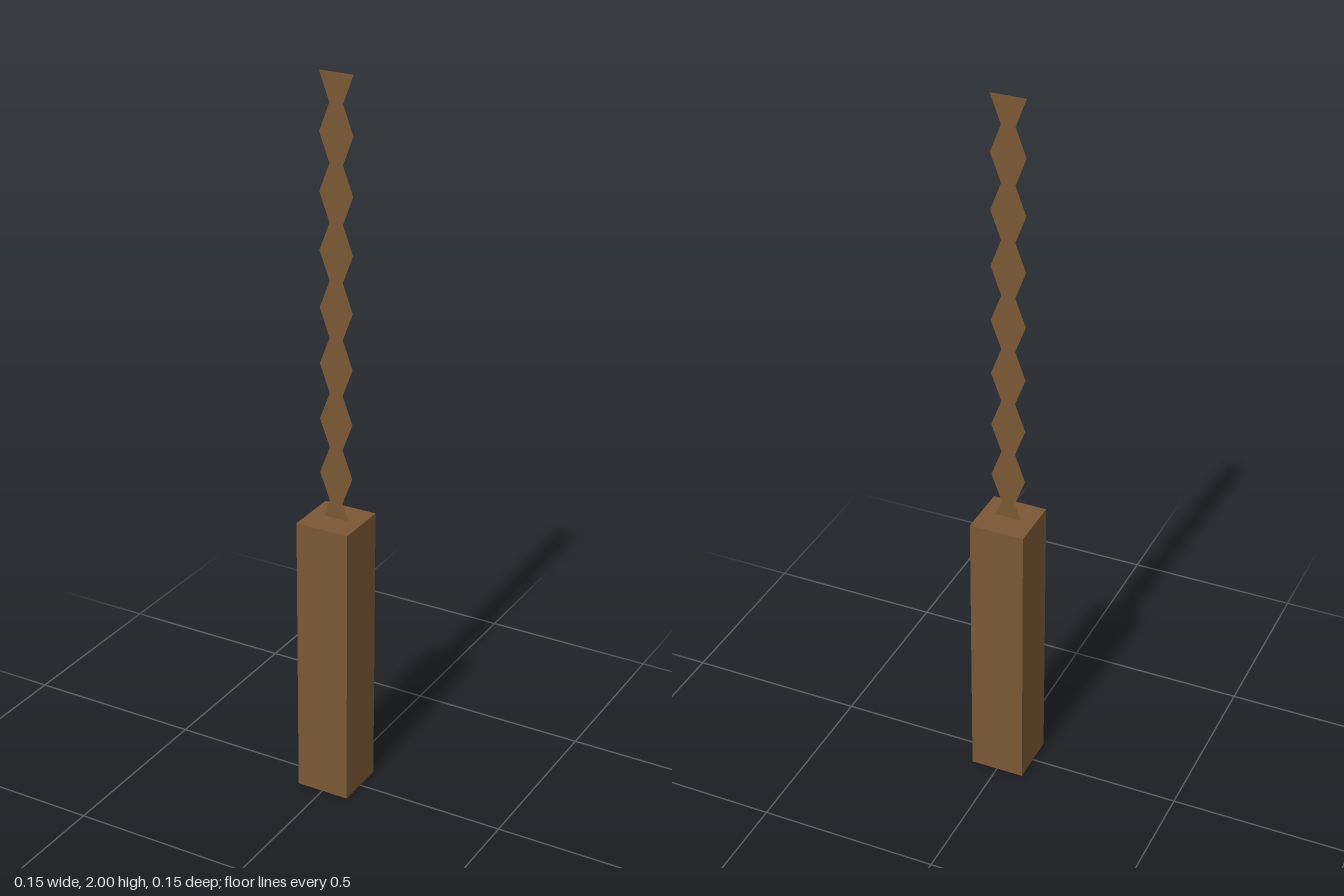
import * as THREE from 'three';

const wood = new THREE.MeshStandardMaterial({ color: 0x7a5835, side: THREE.DoubleSide });
wood.name = 'brown wood';

export function createModel() {
  const model = new THREE.Group();
  model.name = 'post';

  // Square lower post
  const width = 0.152, height = 0.805;
  const base = new THREE.Mesh(new THREE.BoxGeometry(width, height, width), wood);
  base.name = 'basePost';
  base.position.y = height / 2;
  model.add(base);

  // Flat zigzag blade, alternating wide and narrow every half period
  const top = 2, step = 0.0765, wide = 0.048, narrow = 0.019, steps = 16;
  const edge = [];
  for (let i = 0; i <= steps; i++) {
    edge.push(new THREE.Vector2(i % 2 ? narrow : wide, top - i * step));
  }
  const mirrored = edge.map((p) => new THREE.Vector2(-p.x, p.y)).reverse();
  const blade = new THREE.Mesh(new THREE.ShapeGeometry(new THREE.Shape([...edge, ...mirrored])), wood);
  blade.name = 'zigzagBlade';
  model.add(blade);

  return model;
}
